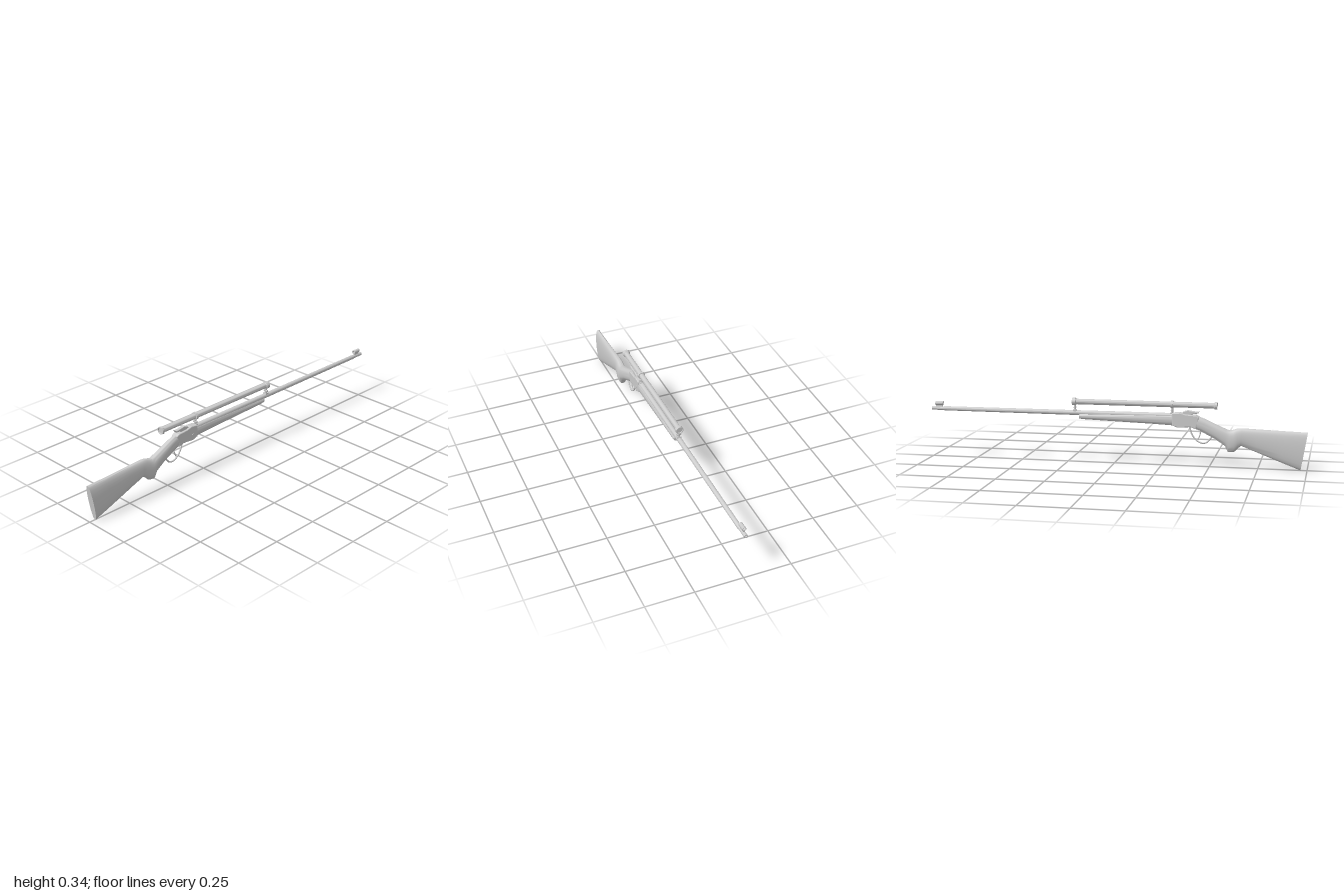
import * as THREE from 'three';
import { toCreasedNormals } from 'three/addons/utils/BufferGeometryUtils.js';

const mat = new THREE.MeshStandardMaterial({ color: 0xcccccc, side: THREE.DoubleSide });

// Closed loft through sections [topX, topY, bottomX, bottomY, halfWidth]
function loft(sections, power = 0.8, n = 24) {
  const pos = [], idx = [];
  for (const [tx, ty, bx, by, w] of sections) {
    for (let j = 0; j < n; j++) {
      const a = (j / n) * Math.PI * 2, s = Math.sin(a);
      const t = (1 - Math.cos(a)) / 2;
      pos.push(tx + (bx - tx) * t, ty + (by - ty) * t, w * Math.sign(s) * Math.abs(s) ** power);
    }
  }
  const last = (sections.length - 1) * n;
  for (let i = 0; i < last; i += n) {
    for (let j = 0; j < n; j++) {
      const k = (j + 1) % n;
      idx.push(i + j, i + k, i + n + j, i + k, i + n + k, i + n + j);
    }
  }
  for (let j = 1; j < n - 1; j++) {
    idx.push(0, j + 1, j, last, last + j, last + j + 1);
  }
  const geo = new THREE.BufferGeometry();
  geo.setAttribute('position', new THREE.Float32BufferAttribute(pos, 3));
  geo.setIndex(idx);
  return toCreasedNormals(geo, 0.7);
}

// Turned part along x from [x, radius] pairs
function turned(points, y, sides = 20) {
  const geo = new THREE.LatheGeometry(points.map(([x, r]) => new THREE.Vector2(r, x)), sides);
  geo.rotateZ(-Math.PI / 2);
  geo.translate(0, y, 0);
  return toCreasedNormals(geo, 0.6);
}

// Flat side profile with thickness along z
function plate(points, thickness, bevel = 0) {
  const shape = new THREE.Shape(points.map(([x, y]) => new THREE.Vector2(x, y)));
  const depth = thickness - 2 * bevel;
  const geo = new THREE.ExtrudeGeometry(shape, {
    depth, bevelEnabled: bevel > 0, bevelSize: bevel, bevelThickness: bevel,
    bevelOffset: -bevel, bevelSegments: 2,
  });
  geo.translate(0, 0, -depth / 2);
  return geo;
}

function rod(points, radius) {
  const curve = new THREE.CatmullRomCurve3(points.map(([x, y]) => new THREE.Vector3(x, y, 0)));
  return new THREE.TubeGeometry(curve, 32, radius, 8);
}

export function createModel() {
  const group = new THREE.Group();
  const add = (name, geo, x = 0, y = 0, z = 0) => {
    const mesh = new THREE.Mesh(geo, mat);
    mesh.name = name;
    mesh.position.set(x, y, z);
    group.add(mesh);
    return mesh;
  };

  // Butt, pistol grip and wrist in one piece
  add('stock', loft([
    [-1, 0.2, -0.967, 0.003, 0.019],
    [-0.9, 0.203, -0.86, 0.043, 0.02],
    [-0.75, 0.208, -0.73, 0.093, 0.02],
    [-0.665, 0.211, -0.662, 0.119, 0.021],
    [-0.64, 0.209, -0.647, 0.106, 0.023],
    [-0.622, 0.202, -0.628, 0.087, 0.025],
    [-0.605, 0.198, -0.595, 0.083, 0.025],
    [-0.585, 0.204, -0.58, 0.116, 0.025],
    [-0.545, 0.221, -0.53, 0.149, 0.023],
    [-0.48, 0.251, -0.45, 0.19, 0.02],
    [-0.43, 0.27, -0.395, 0.21, 0.018],
  ], 0.75));

  // Forend below the barrel
  add('forend', loft([
    [-0.325, 0.272, -0.325, 0.213, 0.018],
    [-0.2, 0.27, -0.2, 0.219, 0.018],
    [0.17, 0.262, 0.17, 0.231, 0.016],
    [0.187, 0.26, 0.187, 0.234, 0.015],
  ], 0.6));

  // Receiver
  add('receiver', plate([
    [-0.445, 0.262], [-0.43, 0.271], [-0.375, 0.275], [-0.345, 0.283], [-0.305, 0.279],
    [-0.305, 0.215], [-0.335, 0.205], [-0.4, 0.21], [-0.43, 0.2],
  ], 0.038, 0.004));
  for (const side of [-1, 1]) {
    const pin = new THREE.CylinderGeometry(0.006, 0.006, 0.003, 12);
    pin.rotateX(Math.PI / 2);
    add('receiverPin', pin, -0.335, 0.235, side * 0.0195);
  }

  // Hammer with curved spur
  add('hammer', plate([
    [-0.45, 0.294], [-0.437, 0.289], [-0.415, 0.291], [-0.385, 0.296], [-0.36, 0.288],
    [-0.352, 0.275], [-0.4, 0.268], [-0.415, 0.278], [-0.438, 0.28],
  ], 0.018, 0.003));

  // Trigger and guard lever
  add('triggerGuard', rod([
    [-0.515, 0.165], [-0.5, 0.147], [-0.485, 0.131], [-0.462, 0.126],
    [-0.435, 0.137], [-0.412, 0.163], [-0.393, 0.21],
  ], 0.004));
  add('trigger', rod([
    [-0.452, 0.196], [-0.45, 0.172], [-0.444, 0.155], [-0.438, 0.146],
  ], 0.003));

  // Barrel with a stepped, hollow muzzle
  add('barrel', turned([
    [-0.32, 0], [-0.32, 0.0145], [0.19, 0.013], [0.93, 0.0115], [0.935, 0.0098],
    [1, 0.0098], [1, 0.005], [0.97, 0.005], [0.97, 0],
  ], 0.264));

  // Hooded front sight
  add('frontSightBase', new THREE.BoxGeometry(0.035, 0.014, 0.008), 0.96, 0.278);
  add('frontSightHood', turned([
    [0.938, 0.008], [0.938, 0.0105], [0.98, 0.0105], [0.98, 0.008], [0.938, 0.008],
  ], 0.291, 16));
  add('frontSightPost', new THREE.BoxGeometry(0.004, 0.018, 0.002), 0.96, 0.29);

  // Long telescopic sight with flared ends
  add('scopeTube', turned([
    [-0.532, 0], [-0.532, 0.015], [-0.537, 0.016], [-0.537, 0.02], [-0.526, 0.02],
    [-0.52, 0.0145], [0.203, 0.0145], [0.208, 0.02], [0.225, 0.02], [0.225, 0.016],
    [0.219, 0.015], [0.219, 0],
  ], 0.323, 28));

  // Scope mounts
  for (const x of [-0.303, 0.212]) {
    add('mountRing', turned([
      [-0.006, 0.014], [-0.006, 0.0195], [0.006, 0.0195], [0.006, 0.014],
    ], 0.323, 28), x);
    add('mountPost', new THREE.CylinderGeometry(0.006, 0.007, 0.042, 12), x, 0.289);
    add('mountFoot', new THREE.BoxGeometry(0.018, 0.008, 0.02), x, 0.276);
    const screw = new THREE.CylinderGeometry(0.005, 0.005, 0.026, 12);
    screw.rotateX(Math.PI / 2);
    add('mountScrew', screw, x, 0.292);
  }

  return group;
}
